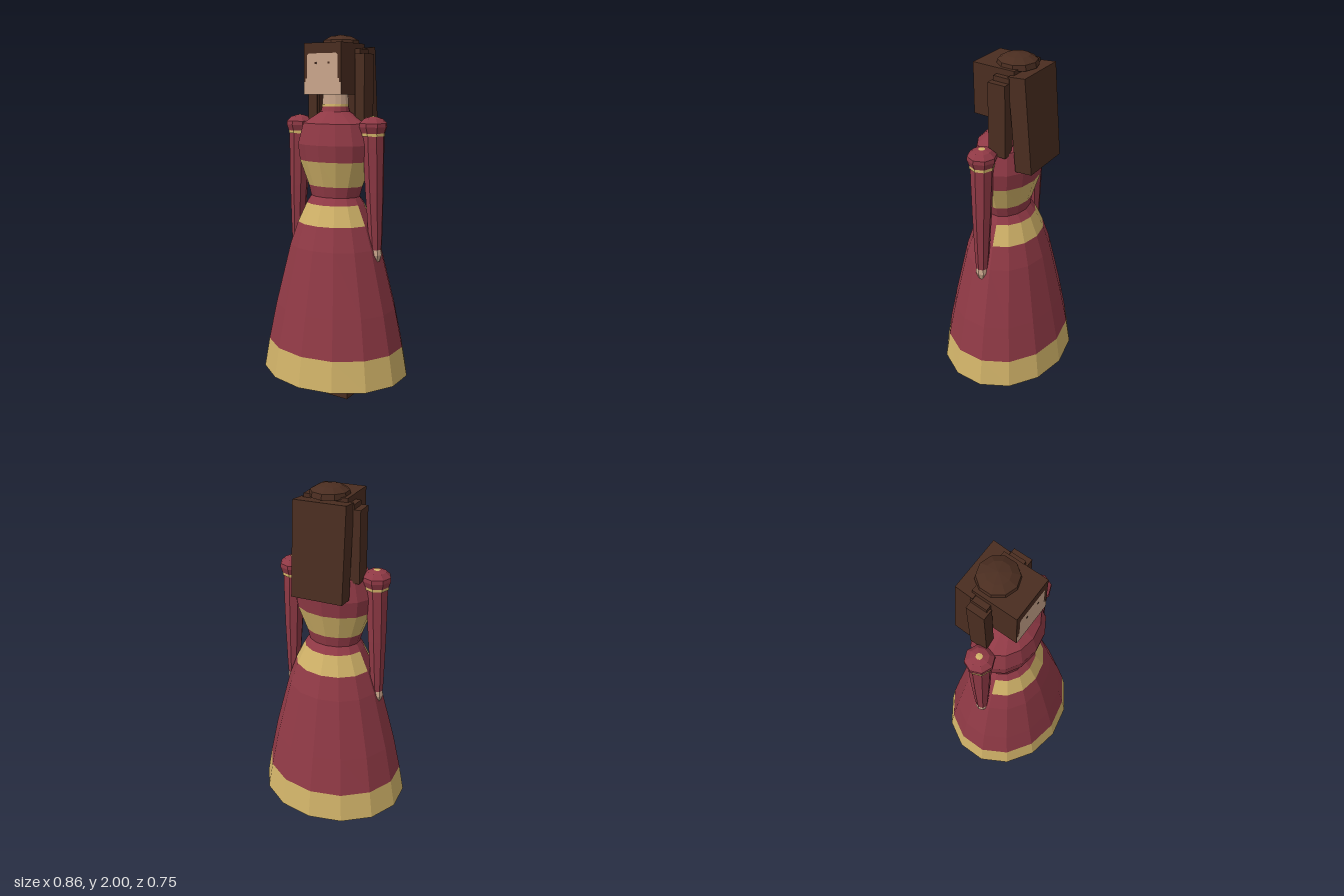
import * as THREE from 'three';

const mat = (name, color) => {
  const m = new THREE.MeshStandardMaterial({ color });
  m.name = name;
  return m;
};

export function createModel() {
  const model = new THREE.Group();
  const crimson = mat('crimson cloth', 0x8f3945);
  const gold = mat('gold trim', 0xd0b268);
  const skin = mat('skin', 0xcaa68c);
  const brown = mat('brown hair and leather', 0x4a2d20);

  const add = (name, geometry, material, parent = model) => {
    const g = geometry.index ? geometry.toNonIndexed() : geometry;
    g.computeVertexNormals(); // flat facets
    const mesh = new THREE.Mesh(g, material);
    mesh.name = name;
    parent.add(mesh);
    return mesh;
  };

  // Faceted elliptical tube through rows of [rx, rz, y], bottom to top
  const SIDES = 14, STEP = (Math.PI * 2) / SIDES;
  const loft = (rows, sides = SIDES, from = 0, count = sides) => {
    const step = (Math.PI * 2) / sides;
    const g = new THREE.LatheGeometry(rows.map(([rx, , y]) => new THREE.Vector2(rx, y)), count, from * step, count * step);
    const p = g.attributes.position;
    for (let i = 0; i < p.count; i++) {
      const [rx, rz] = rows[i % rows.length];
      p.setZ(i, rx ? (p.getZ(i) * rz) / rx : 0);
    }
    return g;
  };
  const box = (x0, x1, y0, y1, z0, z1) =>
    new THREE.BoxGeometry(x1 - x0, y1 - y0, z1 - z0).translate((x0 + x1) / 2, (y0 + y1) / 2, (z0 + z1) / 2);

  // Skirt
  const hem = [0.44, 0.377, 0.1], hemTop = [0.41, 0.35, 0.27];
  const beltLow = [0.225, 0.19, 0.97], beltTop = [0.172, 0.145, 1.08];
  add('skirtHem', loft([hem, hemTop]), gold);
  add('skirt', loft([hemTop, [0.364, 0.306, 0.49], [0.272, 0.232, 0.84], beltLow]), crimson);

  // Belt: gold front and back, cloth on the side facets
  [[-3, 6, gold, 'beltFront'], [4, 6, gold, 'beltBack'], [3, 1, crimson, 'beltLeftSide'], [10, 1, crimson, 'beltRightSide']]
    .forEach(([from, count, m, name]) => add(name, loft([beltLow, beltTop], SIDES, from, count), m));

  // Underside of the skirt, with gold notches at the corners
  const under = new THREE.Shape(), rim = new THREE.Shape();
  const at = (i, k) => [Math.sin(i * STEP) * hem[0] * k, Math.cos(i * STEP) * hem[1] * k];
  for (let i = 0; i < SIDES; i++) {
    const [x, z] = at(i, 1), [nx, nz] = at(i + 1, 1);
    const mix = (t) => [x + (nx - x) * t, z + (nz - z) * t];
    under[i ? 'lineTo' : 'moveTo'](...at(i, 0.85));
    under.lineTo(...mix(0.2));
    under.lineTo(...mix(0.8));
    rim[i ? 'lineTo' : 'moveTo'](x, z);
  }
  add('hemUnderside', new THREE.ShapeGeometry(rim).rotateX(Math.PI / 2).translate(0, 0.102, 0), gold);
  add('skirtUnderside', new THREE.ShapeGeometry(under).rotateX(Math.PI / 2).translate(0, 0.098, 0), crimson);

  // Bodice
  const ribs = [0.165, 0.122, 1.18], bust = [0.218, 0.164, 1.32];
  add('waist', loft([beltTop, [0.148, 0.113, 1.12], ribs]), crimson);
  add('bodiceBand', loft([ribs, bust]), gold);
  add('bodiceTop', loft([bust, [0.228, 0.175, 1.41], [0.195, 0.15, 1.525], [0.082, 0.078, 1.588], [0.077, 0.068, 1.615]]), crimson);
  add('collar', loft([[0.077, 0.068, 1.615], [0.077, 0.066, 1.628]]), gold);
  add('neck', loft([[0.077, 0.06, 1.628], [0.075, 0.06, 1.69]]), skin);

  // Arms
  for (const s of [1, -1]) {
    const arm = new THREE.Group();
    arm.name = s > 0 ? 'leftArm' : 'rightArm';
    model.add(arm);
    const part = (name, rows, material) => {
      const g = loft(rows.map(([r, y]) => [r, r, y]), 8);
      const p = g.attributes.position;
      for (let i = 0; i < p.count; i++) // lean outward toward the hand
        p.setX(i, p.getX(i) + s * (0.24 + Math.max(0, 1.5 - p.getY(i)) * 0.035));
      add(name, g, material, arm);
    };
    part('shoulderPuff', [[0.066, 1.477], [0.078, 1.51], [0.076, 1.53], [0.05, 1.555], [0.018, 1.564]], crimson);
    part('shoulderButton', [[0.018, 1.564], [0, 1.567]], gold);
    part('sleeveTrim', [[0.058, 1.462], [0.066, 1.462], [0.066, 1.477]], gold);
    part('sleeve', [[0, 0.84], [0.034, 0.84], [0.039, 0.9], [0.052, 1.16], [0.06, 1.4], [0.061, 1.462]], crimson);
    part('hand', [[0, 0.77], [0.022, 0.772], [0.036, 0.81], [0.032, 0.842]], skin);
    // Shoe
    add(s > 0 ? 'leftShoe' : 'rightShoe', box(s * 0.125 - 0.065, s * 0.125 + 0.065, 0, 0.13, -0.065, 0.18), brown);
  }

  // Head and hair
  add('head', box(-0.118, 0.118, 1.68, 1.95, -0.11, 0.13), brown);
  add('hairCrown', loft([[0.106, 0.106, 1.94], [0.1, 0.1, 1.968], [0.06, 0.06, 1.99], [0, 0, 2]], 10).translate(0, 0, -0.055), brown);
  const back = add('backHair', box(-0.142, 0.142, -0.25, 0.25, -0.048, 0.048), brown);
  back.position.set(0, 1.683, -0.161);
  back.rotation.x = 0.093;
  for (const s of [1, -1]) {
    add('innerSideHair', box(s * 0.13 - 0.018, s * 0.13 + 0.018, 1.55, 1.92, -0.1, -0.01), brown);
    add('outerSideHair', box(s * 0.153 - 0.029, s * 0.153 + 0.029, 1.51, 1.895, -0.1, 0), brown);
  }

  // Face: stepped plate that widens at the jaw
  const face = new THREE.Shape(
    [[-0.117, 1.68], [0.117, 1.68], [0.117, 1.745], [0.107, 1.745], [0.107, 1.765], [0.097, 1.765], [0.097, 1.885],
      [0.087, 1.895], [-0.087, 1.895], [-0.097, 1.885], [-0.097, 1.765], [-0.107, 1.765], [-0.107, 1.745], [-0.117, 1.745]]
      .map(([x, y]) => new THREE.Vector2(x, y)));
  add('face', new THREE.ShapeGeometry(face).translate(0, 0, 0.132), skin);
  for (const s of [1, -1])
    add('eye', box(s * 0.042 - 0.005, s * 0.042 + 0.005, 1.84, 1.85, 0.131, 0.134), brown);

  return model;
}
